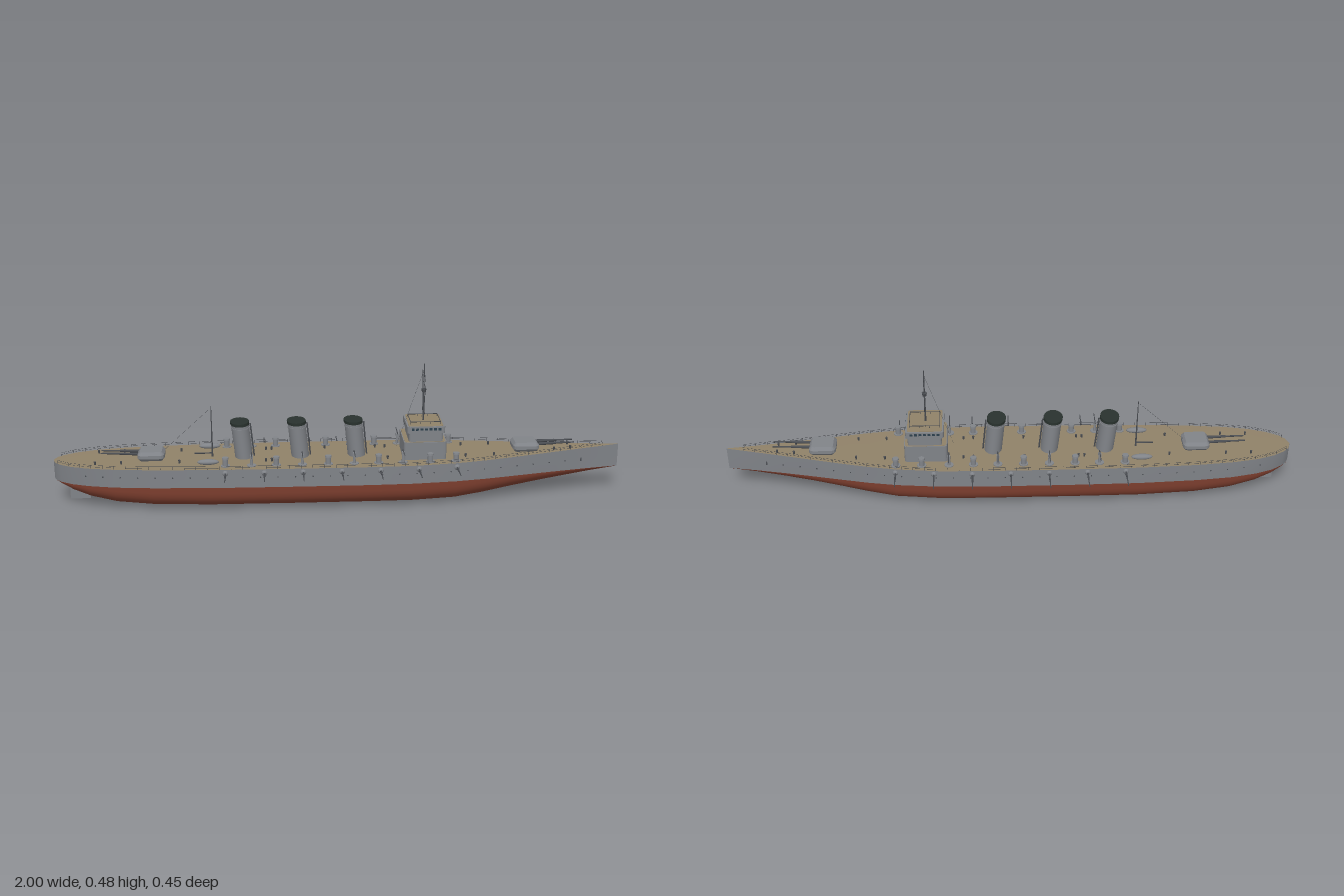
import * as THREE from 'three';
import { mergeGeometries } from 'three/addons/utils/BufferGeometryUtils.js';

const mat = (name, color) => Object.assign(new THREE.MeshStandardMaterial({ color }), { name });
const V = (x, y, z) => new THREE.Vector3(x, y, z);

// Hull stations: x, deck half width, waterline half width, keel height, section fullness
const STATIONS = [
  [-1, 0, 0, 0.088, 2], [-0.99, 0.03, 0.022, 0.084, 2], [-0.97, 0.05, 0.043, 0.074, 2], [-0.93, 0.074, 0.068, 0.052, 2.1],
  [-0.87, 0.095, 0.09, 0.03, 2.3], [-0.78, 0.112, 0.11, 0.011, 2.5], [-0.65, 0.125, 0.124, 0.002, 2.8],
  [-0.45, 0.135, 0.135, 0, 3], [-0.2, 0.139, 0.139, 0, 3], [0.1, 0.14, 0.14, 0, 3], [0.25, 0.136, 0.136, 0, 3],
  [0.4, 0.122, 0.122, 0.003, 2.8], [0.5, 0.106, 0.105, 0.013, 2.4], [0.6, 0.085, 0.083, 0.028, 2.1],
  [0.7, 0.063, 0.06, 0.042, 1.8], [0.8, 0.041, 0.038, 0.057, 1.6], [0.9, 0.02, 0.018, 0.073, 1.4], [1, 0, 0, 0.088, 1.3],
];
const WATER = 0.088;
const deckY = x => 0.154 + (x > 0.3 ? 0.017 * ((x - 0.3) / 0.7) ** 1.4 : 0);
const halfWidth = x => {
  const i = Math.max(1, STATIONS.findIndex(s => s[0] >= x));
  const a = STATIONS[i - 1], b = STATIONS[i];
  return THREE.MathUtils.lerp(a[1], b[1], (x - a[0]) / (b[0] - a[0]));
};

// Skin through a list of equal-length cross-sections
function loft(sections) {
  const n = sections[0].length, index = [];
  for (let i = 0; i < sections.length - 1; i++) for (let j = 0; j < n - 1; j++) {
    const a = i * n + j, b = a + n;
    index.push(a, a + 1, b, b, a + 1, b + 1);
  }
  const g = new THREE.BufferGeometry();
  g.setAttribute('position', new THREE.Float32BufferAttribute(sections.flat(2), 3));
  g.setIndex(index);
  g.computeVertexNormals();
  return g;
}

// Cylinder between two points
function rod(a, b, r, r2 = r, sides = 6) {
  const d = b.clone().sub(a);
  const g = new THREE.CylinderGeometry(r2, r, d.length(), sides);
  g.applyQuaternion(new THREE.Quaternion().setFromUnitVectors(V(0, 1, 0), d.normalize()));
  const m = a.clone().add(b).multiplyScalar(0.5);
  return g.translate(m.x, m.y, m.z);
}

// Upright rounded block standing on y, with an optional sloped upper edge
function block(x0, x1, hz, y, h, r, slope = 0, rise = 0) {
  const hx = (x1 - x0) / 2 - slope, z = hz - slope, s = new THREE.Shape();
  s.moveTo(-hx + r, -z);
  s.lineTo(hx - r, -z).quadraticCurveTo(hx, -z, hx, -z + r);
  s.lineTo(hx, z - r).quadraticCurveTo(hx, z, hx - r, z);
  s.lineTo(-hx + r, z).quadraticCurveTo(-hx, z, -hx, z - r);
  s.lineTo(-hx, -z + r).quadraticCurveTo(-hx, -z, -hx + r, -z);
  const g = new THREE.ExtrudeGeometry(s, { depth: h - rise, curveSegments: 4, bevelEnabled: slope > 0,
    bevelSize: slope, bevelThickness: rise, bevelSegments: 1 });
  return g.rotateX(-Math.PI / 2).translate((x0 + x1) / 2, y, 0);
}

export function createModel() {
  const ship = new THREE.Group();
  ship.name = 'warship';
  const grey = mat('hull grey', 0x808388), red = mat('bottom red', 0x7e3f2f), tan = mat('deck tan', 0x8f8168);
  const black = mat('funnel top black', 0x29322e), dark = mat('gun dark grey', 0x4a4d52), glass = mat('window blue', 0x2c3f4c);
  const add = (name, geo, material, parent = ship) => {
    const m = new THREE.Mesh(Array.isArray(geo) ? mergeGeometries(geo.map(g => g.toNonIndexed())) : geo, material);
    m.name = name;
    parent.add(m);
    return m;
  };

  // Hull: red underbody, grey sides, planked deck
  add('underbody', loft(STATIONS.map(([x, , w, k, n]) => Array.from({ length: 25 }, (_, j) => {
    const t = Math.PI * j / 24, c = Math.cos(t), s = Math.max(0, Math.sin(t));
    return [x, WATER - (WATER - k) * s ** (2 / n), w * Math.sign(c) * Math.abs(c) ** (2 / n)];
  }))), red);
  for (const side of [1, -1]) {
    add(side > 0 ? 'frontHullSide' : 'backHullSide', loft(STATIONS.map(([x, wd, ww]) => {
      const s = [[x, deckY(x), side * wd], [x, (deckY(x) + WATER) / 2, side * (wd * 0.6 + ww * 0.4)], [x, WATER, side * ww]];
      return side > 0 ? s : s.reverse();
    })), grey);
  }
  add('deck', loft(STATIONS.map(([x, w]) => [[x, deckY(x), -w], [x, deckY(x) + 0.001, 0], [x, deckY(x), w]])), tan);
  add('rudder', new THREE.BoxGeometry(0.07, 0.055, 0.008).translate(-0.915, 0.037, 0), grey);

  // Deck railing and portholes
  const rails = [], ports = [];
  const edge = (x, h, side) => V(x, deckY(x) + h, side * Math.max(0, halfWidth(x) - 0.002));
  for (const side of [1, -1]) {
    for (let i = 0; i < 49; i++) {
      const x = -0.98 + i * 0.04;
      rails.push(rod(edge(x, 0, side), edge(x, 0.012, side), 0.0007, 0.0007, 4));
      if (i < 48) for (const h of [0.006, 0.012]) rails.push(rod(edge(x, h, side), edge(x + 0.04, h, side), 0.0005, 0.0005, 3));
    }
    for (let x = -0.88; x < 0.92; x += 0.06) {
      const z = halfWidth(x);
      ports.push(rod(V(x, 0.125, side * (z - 0.004)), V(x, 0.125, side * (z + 0.0005)), 0.0025, 0.0025, 8));
    }
    // Anchor at the bow
    ports.push(rod(V(0.86, 0.135, side * 0.024), V(0.86, 0.118, side * 0.029), 0.003));
  }
  add('railing', rails, dark);
  add('portholes', ports, dark);

  // Twin-gun turrets fore and aft
  for (const dir of [1, -1]) {
    const t = new THREE.Group();
    t.name = dir > 0 ? 'foreTurret' : 'aftTurret';
    t.position.set(dir * 0.66, deckY(dir * 0.66), 0);
    t.rotation.y = dir > 0 ? 0 : Math.PI;
    ship.add(t);
    add('turretBase', new THREE.CylinderGeometry(0.034, 0.034, 0.012, 24).translate(0, 0.005, 0), grey, t);
    add('turretHouse', block(-0.047, 0.047, 0.043, 0.01, 0.023, 0.01, 0.009, 0.011), grey, t);
    const guns = [];
    for (const z of [-0.015, 0.015]) {
      guns.push(rod(V(0.035, 0.021, z), V(0.11, 0.024, z), 0.0055, 0.0045, 10));
      guns.push(rod(V(0.1, 0.0235, z), V(0.175, 0.026, z), 0.0035, 0.0025, 8));
    }
    add('turretGuns', guns, dark, t);
  }

  // Three raked oval funnels
  for (const x of [-0.337, -0.139, 0.06]) {
    const f = new THREE.Group();
    f.name = 'funnel';
    ship.add(f);
    const ring = (r, y0, y1) => {
      const g = new THREE.CylinderGeometry(r, r, y1 - y0, 32).scale(0.78, 1, 1).translate(0, (y0 + y1) / 2, 0);
      g.applyMatrix4(new THREE.Matrix4().makeShear(0, 0, -0.1, 0, 0, 0));
      return g.translate(x, 0.152, 0);
    };
    add('funnelCasing', ring(0.04, 0, 0.124), grey, f);
    add('funnelCollar', ring(0.0425, 0.108, 0.112), grey, f);
    add('funnelCap', ring(0.0425, 0.122, 0.132), black, f);
    add('steamPipe', rod(V(x + 0.036, 0.152, 0), V(x + 0.024, 0.275, 0), 0.003), dark, f);
  }

  // Bridge tower
  const bridge = new THREE.Group();
  bridge.name = 'bridge';
  ship.add(bridge);
  add('lowerTier', block(0.22, 0.37, 0.078, 0.15, 0.068, 0.012), grey, bridge);
  add('lowerRoof', block(0.223, 0.367, 0.075, 0.218, 0.001, 0.012), tan, bridge);
  add('middleTier', block(0.238, 0.357, 0.071, 0.218, 0.034, 0.01), grey, bridge);
  add('upperTier', block(0.231, 0.364, 0.075, 0.25, 0.024, 0.01), grey, bridge);
  add('bridgeRoof', block(0.237, 0.358, 0.069, 0.274, 0.001, 0.01), tan, bridge);
  const panes = [];
  for (let i = -4; i <= 4; i++) panes.push(new THREE.BoxGeometry(0.002, 0.008, 0.01).translate(0.364, 0.265, i * 0.0135));
  for (let i = -3; i <= 3; i++) for (const s of [1, -1])
    panes.push(new THREE.BoxGeometry(0.01, 0.008, 0.002).translate(0.2975 + i * 0.0155, 0.265, s * 0.075));
  add('bridgeWindows', panes, glass, bridge);
  const roofRail = [];
  for (const s of [1, -1]) {
    roofRail.push(rod(V(0.245, 0.283, s * 0.045), V(0.35, 0.283, s * 0.045), 0.0012));
    const x = s > 0 ? 0.35 : 0.245;
    roofRail.push(rod(V(x, 0.283, -0.045), V(x, 0.283, 0.045), 0.0012));
    for (const px of [0.245, 0.28, 0.315, 0.35]) roofRail.push(rod(V(px, 0.274, s * 0.045), V(px, 0.283, s * 0.045), 0.001));
  }
  add('roofRail', roofRail, dark, bridge);

  // Masts, yards and rigging
  const fx = 0.295, ax = -0.448;
  const spars = [rod(V(fx, 0.27, 0), V(fx, 0.48, 0), 0.0035, 0.0015, 8), rod(V(ax, 0.15, 0), V(ax, 0.34, 0), 0.0032, 0.0012, 8),
    rod(V(ax, 0.168, 0), V(-0.51, 0.168, 0), 0.0025)];
  for (const [y, w] of [[0.445, 0.046], [0.41, 0.046], [0.312, 0.04]]) spars.push(rod(V(fx, y, -w), V(fx, y, w), 0.0008));
  add('mastsAndYards', spars, dark);
  add('lookout', new THREE.CylinderGeometry(0.009, 0.007, 0.012, 12).translate(fx, 0.384, 0), dark);
  const lines = [rod(V(fx, 0.46, 0), V(0.2, 0.18, 0), 0.0004, 0.0004, 3), rod(V(ax, 0.335, 0), V(-0.64, 0.16, 0), 0.0004, 0.0004, 3)];
  for (const s of [1, -1]) {
    for (const y of [0.445, 0.41]) lines.push(rod(V(fx, y, s * 0.045), V(fx, 0.28, s * 0.008), 0.0004, 0.0004, 3));
    lines.push(rod(V(fx, 0.46, 0), V(fx, 0.275, s * 0.04), 0.0004, 0.0004, 3));
  }
  add('rigging', lines, dark);

  // Broadside guns, deck mounts and boats, mirrored on both sides
  for (const s of [1, -1]) {
    const side = new THREE.Group();
    side.name = s > 0 ? 'frontBattery' : 'backBattery';
    ship.add(side);
    const barrels = [], shields = [], mounts = [], rings = [];
    for (let i = 0; i < 7; i++) {
      const x = -0.4 + i * 0.1335, z = halfWidth(x);
      shields.push(new THREE.SphereGeometry(0.011, 12, 8).translate(x, 0.14, s * (z - 0.004)));
      barrels.push(rod(V(x, 0.14, s * z), V(x, 0.141, s * (z + 0.045)), 0.0035, 0.003));
      barrels.push(rod(V(x, 0.141, s * (z + 0.04)), V(x, 0.142, s * (z + 0.087)), 0.0022, 0.0017));
    }
    [-0.4, -0.31, -0.225, -0.135, -0.045, 0.045, 0.13, 0.215, 0.31, 0.4].forEach((x, i) => {
      const y = deckY(x), z = s * 0.1, big = i % 2 === 0 || i === 9;
      rings.push(new THREE.CylinderGeometry(0.016, 0.016, 0.003, 16).translate(x, y + 0.0015, z));
      if (big) {
        mounts.push(rod(V(x, y, z), V(x, y + 0.029, z), 0.0095, 0.0095, 14));
        mounts.push(rod(V(x, y + 0.026, z), V(x, y + 0.032, z), 0.012, 0.011, 14));
      } else {
        mounts.push(rod(V(x, y, z), V(x, y + 0.03, z), 0.006, 0.004, 10));
        mounts.push(new THREE.BoxGeometry(0.01, 0.01, 0.014).translate(x, y + 0.034, z));
        barrels.push(rod(V(x, y + 0.042, s * 0.085), V(x, y + 0.044, s * 0.15), 0.0022, 0.0014));
      }
    });
    add('casemates', shields, grey, side);
    add('deckMounts', mounts, grey, side);
    add('mountRings', rings, grey, side);
    add('gunBarrels', barrels, dark, side);
    add('boat', new THREE.SphereGeometry(1, 16, 10).scale(0.038, 0.01, 0.012).translate(-0.46, 0.165, s * 0.084), grey, side);
    // Bollards and vents along the deck
    const fittings = [];
    for (const x of [-0.85, -0.76, -0.56, -0.26, -0.24, -0.05, 0.13, 0.165, 0.44, 0.54, 0.76, 0.82]) {
      const z = s * Math.min(0.06, halfWidth(x) * 0.6), y = deckY(x);
      fittings.push(rod(V(x, y, z), V(x, y + 0.012, z), 0.003, 0.004, 8));
    }
    add('bollards', fittings, dark, side);
  }
  return ship;
}
